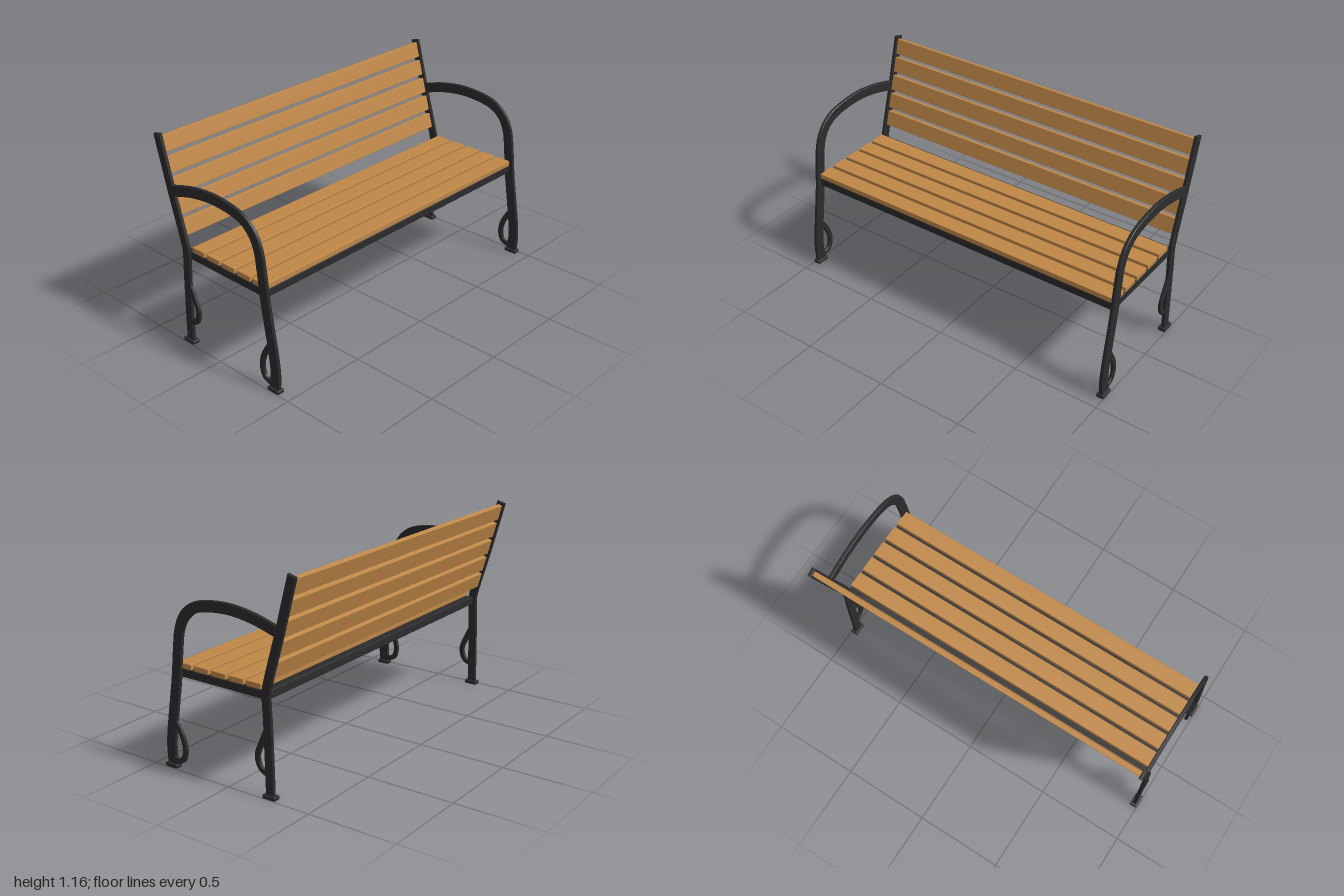
import * as THREE from 'three';
import { toCreasedNormals } from 'three/addons/utils/BufferGeometryUtils.js';
import { RoundedBoxGeometry } from 'three/addons/geometries/RoundedBoxGeometry.js';

const END_X = 0.978;   // centre of each end frame
const BEVEL = 0.003;

// Flat bar following a smooth (z, y) path, with a start and end width, extruded along x.
function barGeometry(points, startWidth, endWidth, thickness, steps = 48) {
  const curve = new THREE.SplineCurve(points.map(([z, y]) => new THREE.Vector2(z, y)));
  const left = [], right = [];
  for (let i = 0; i <= steps; i++) {
    const t = i / steps;
    const p = curve.getPoint(t), d = curve.getTangent(t);
    const half = THREE.MathUtils.lerp(startWidth, endWidth, Math.min(1, t * 2)) / 2 - BEVEL;
    left.push(new THREE.Vector2(p.x - d.y * half, p.y + d.x * half));
    right.unshift(new THREE.Vector2(p.x + d.y * half, p.y - d.x * half));
  }
  const depth = thickness - 2 * BEVEL;
  const geo = new THREE.ExtrudeGeometry(new THREE.Shape([...left, ...right]), {
    depth, bevelEnabled: true, bevelSize: BEVEL, bevelThickness: BEVEL, bevelSegments: 1,
  });
  geo.translate(0, 0, -depth / 2);
  geo.rotateY(-Math.PI / 2);
  return toCreasedNormals(geo, 0.5);
}

export function createModel() {
  const model = new THREE.Group();
  model.name = 'bench';

  const iron = new THREE.MeshStandardMaterial({ color: 0x2b2b2c });
  iron.name = 'dark iron';
  const wood = new THREE.MeshStandardMaterial({ color: 0xbf8747 });
  wood.name = 'warm wood';

  const add = (parent, name, geometry, material, x, y, z) => {
    const mesh = new THREE.Mesh(geometry, material);
    mesh.name = name;
    mesh.position.set(x, y, z);
    parent.add(mesh);
    return mesh;
  };

  // Front leg sweeping up into the armrest
  const frontLeg = barGeometry([
    [0.393, 0.015], [0.398, 0.1], [0.391, 0.19], [0.366, 0.35], [0.342, 0.5], [0.325, 0.65],
    [0.306, 0.765], [0.26, 0.85], [0.17, 0.905], [0, 0.926], [-0.16, 0.91], [-0.32, 0.867],
  ], 0.062, 0.058, 0.02, 80);

  // Back leg bending into the backrest post
  const backLeg = barGeometry([
    [-0.254, 0.015], [-0.251, 0.2], [-0.246, 0.4], [-0.241, 0.54], [-0.257, 0.62],
    [-0.322, 0.84], [-0.365, 0.995], [-0.408, 1.152],
  ], 0.05, 0.05, 0.02, 60);

  // Decorative scrolls
  const frontScroll = barGeometry([
    [0.362, 0.255], [0.341, 0.222], [0.315, 0.17], [0.304, 0.11], [0.322, 0.055], [0.375, 0.035],
  ], 0.03, 0.03, 0.018, 32);
  const backScroll = barGeometry([
    [-0.24, 0.36], [-0.207, 0.29], [-0.178, 0.215], [-0.193, 0.155], [-0.233, 0.13], [-0.272, 0.14],
  ], 0.03, 0.03, 0.018, 32);
  const foot = new RoundedBoxGeometry(0.043, 0.021, 0.077, 2, 0.005);

  for (const [side, sign] of [['left', 1], ['right', -1]]) {
    const end = new THREE.Group();
    end.name = side + 'EndFrame';
    end.position.x = sign * END_X;
    add(end, 'frontLegAndArmrest', frontLeg, iron, 0, 0, 0);
    add(end, 'backLegAndPost', backLeg, iron, 0, 0, 0);
    add(end, 'frontScroll', frontScroll, iron, 0, 0, 0);
    add(end, 'backScroll', backScroll, iron, 0, 0, 0);
    add(end, 'frontFoot', foot, iron, 0, 0.0105, 0.393);
    add(end, 'backFoot', foot, iron, 0, 0.0105, -0.254);
    model.add(end);
  }

  // Seat base
  add(model, 'seatBase', new RoundedBoxGeometry(1.946, 0.046, 0.585, 2, 0.005), iron, 0, 0.532, 0.0475);

  // Seat slats
  const seatSlat = new RoundedBoxGeometry(1.946, 0.03, 0.092, 2, 0.003);
  for (let i = 0; i < 5; i++) {
    add(model, 'seatSlat' + (i + 1), seatSlat, wood, 0, 0.57, 0.294 - i * 0.1125);
  }

  // Backrest slats, leaning with the posts
  const lean = 0.277;
  const backSlat = new RoundedBoxGeometry(1.946, 0.089, 0.028, 2, 0.003);
  for (let i = 0; i < 5; i++) {
    const y = 0.67 + i * 0.1065;
    const slat = add(model, 'backSlat' + (i + 1), backSlat, wood, 0, y, -0.322 - (y - 0.84) * lean);
    slat.rotation.x = -Math.atan(lean);
  }

  return model;
}
